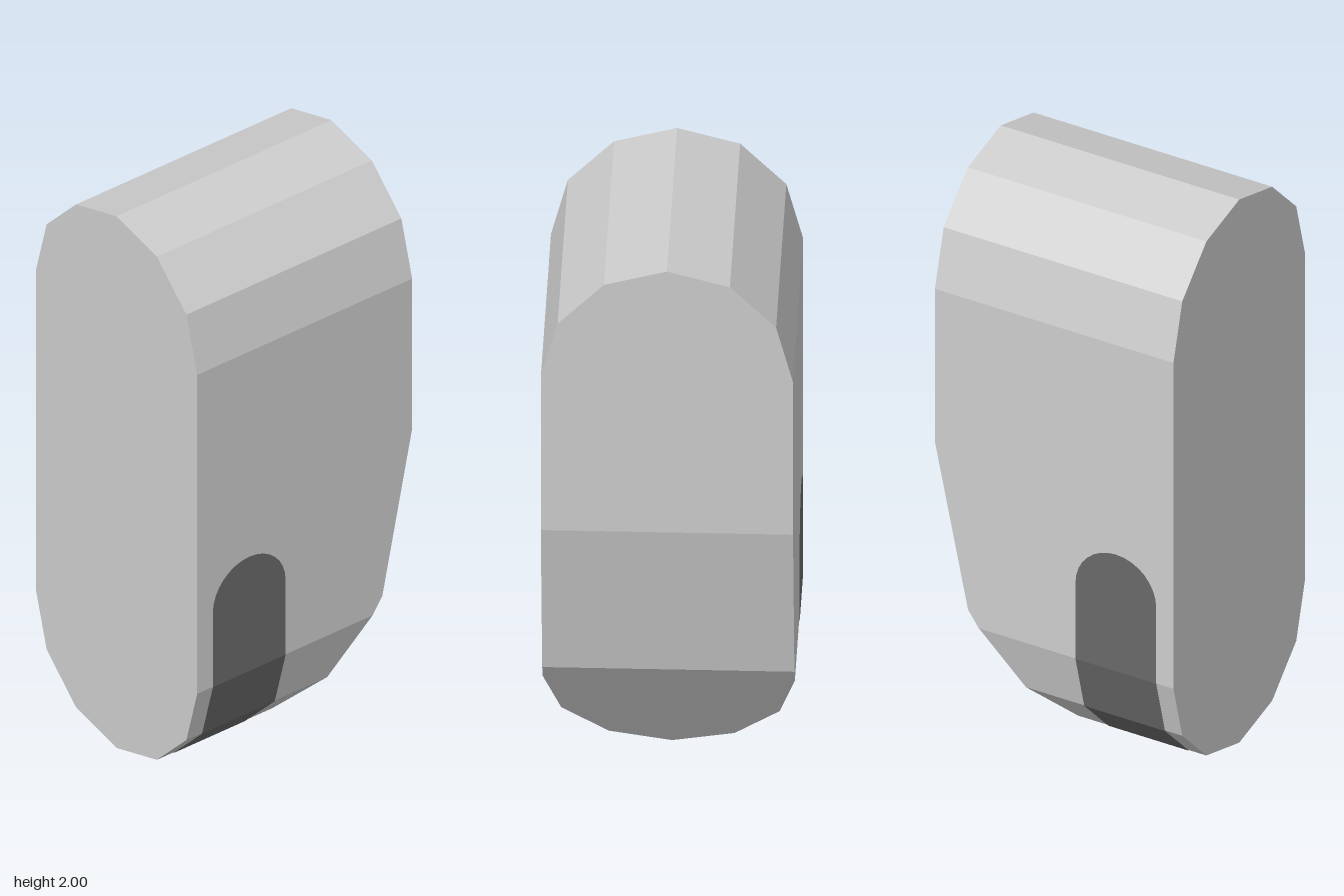
import * as THREE from 'three';

const FRONT_Z = 0.443, BACK_Z = -0.443, RADIUS = 0.4;

// Flat-shaded geometry from a list of quads (four corners, counter-clockwise)
function quadsGeometry(quads) {
  const positions = [];
  for (const [a, b, c, d] of quads) positions.push(...a, ...b, ...c, ...a, ...c, ...d);
  const geometry = new THREE.BufferGeometry();
  geometry.setAttribute('position', new THREE.Float32BufferAttribute(positions, 3));
  geometry.computeVertexNormals();
  return geometry;
}

// Depth of the back surface: upright above, sloping forward in two steps below
function backZ(y) {
  if (y > 1.036) return BACK_Z;
  if (y > 0.456) return THREE.MathUtils.mapLinear(y, 0.456, 1.036, -0.32, BACK_Z);
  return THREE.MathUtils.mapLinear(y, 0, 0.456, 0.005, -0.32);
}

// Points on a faceted quarter turn around (0, cy)
function quarter(cy, startAngle, r = RADIUS) {
  return [0, 1, 2, 3].map((i) => {
    const a = startAngle + (i * Math.PI) / 6;
    return [r * Math.cos(a), cy + r * Math.sin(a)];
  });
}

const mirror = ([x, y]) => [-x, y];

function bodyGeometry() {
  const right = [...quarter(0.4, -Math.PI / 2), [RADIUS, 0.456], [RADIUS, 1.036], ...quarter(1.6, 0)];
  const front = ([x, y]) => [x, y, FRONT_Z];
  const back = ([x, y]) => [x, y, backZ(y)];
  const quads = [];
  for (let i = 0; i < right.length - 1; i++) {
    const a = right[i], b = right[i + 1], ma = mirror(a), mb = mirror(b);
    quads.push(
      [front(a), back(a), back(b), front(b)], // +x wall
      [front(mb), back(mb), back(ma), front(ma)], // -x wall
      [front(ma), front(a), front(b), front(mb)], // front face
      [back(a), back(ma), back(mb), back(b)] // back face
    );
  }
  return quadsGeometry(quads);
}

export function createModel() {
  const model = new THREE.Group();
  const lightGrey = new THREE.MeshStandardMaterial({ color: 0xcccccc });
  lightGrey.name = 'light grey';
  const darkGrey = new THREE.MeshStandardMaterial({ color: 0x696969 });
  darkGrey.name = 'dark grey';

  const add = (name, geometry, material, parent = model) => {
    const mesh = new THREE.Mesh(geometry, material);
    mesh.name = name;
    parent.add(mesh);
    return mesh;
  };

  add('body', bodyGeometry(), lightGrey);

  // Dark band running under the body and up both sides
  const band = new THREE.Group();
  band.name = 'band';
  model.add(band);
  const r = RADIUS + 0.002, centreZ = 0.23, half = 0.15, capY = 0.68;
  const half1 = [...quarter(0.4, -Math.PI / 2, r), [r, capY]];
  const path = [...half1.slice(1).reverse().map(mirror), ...half1];
  const strips = [];
  for (let i = 0; i < path.length - 1; i++) {
    const a = path[i], b = path[i + 1];
    const z0 = centreZ - half, z1 = centreZ + half;
    strips.push([[...a, z1], [...a, z0], [...b, z0], [...b, z1]]);
  }
  add('bandStrip', quadsGeometry(strips), darkGrey, band);

  // Rounded ends of the band
  for (const side of [-1, 1]) {
    const cap = add('bandEnd', new THREE.CircleGeometry(half, 16, 0, Math.PI), darkGrey, band);
    cap.rotation.y = (side * Math.PI) / 2;
    cap.position.set(side * r, capY, centreZ);
  }
  return model;
}
